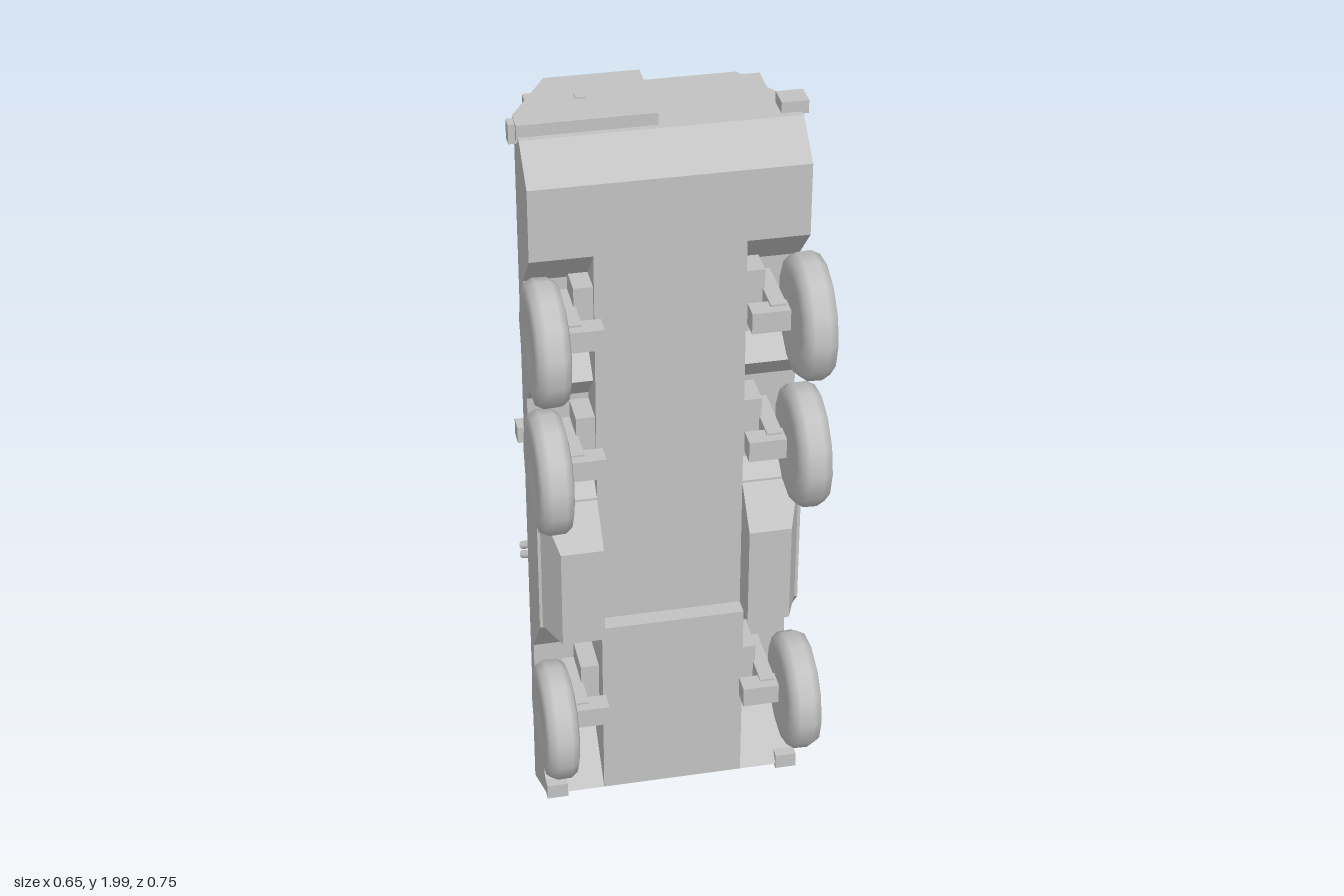
import * as THREE from 'three';
import { ConvexGeometry } from 'three/addons/geometries/ConvexGeometry.js';

// The vehicle stands on its nose: forward is -y, its roof faces -z.
export function createModel() {
  const root = new THREE.Group();
  const grey = new THREE.MeshStandardMaterial({ color: 0xc2c2c2 });
  grey.name = 'hull grey';

  const add = (name, geometry) => {
    const mesh = new THREE.Mesh(geometry, grey);
    mesh.name = name;
    root.add(mesh);
    return mesh;
  };
  const box = (name, x0, x1, y0, y1, z0, z1) =>
    add(name, new THREE.BoxGeometry(Math.abs(x1 - x0), y1 - y0, Math.abs(z1 - z0)))
      .position.set((x0 + x1) / 2, (y0 + y1) / 2, (z0 + z1) / 2);
  const convex = (name, pts) =>
    add(name, new ConvexGeometry(pts.map((p) => new THREE.Vector3(...p))));
  // side profile of [z, y] points, extruded across x
  const slab = (name, pts, x0, x1) => {
    const shape = new THREE.Shape(pts.map(([z, y]) => new THREE.Vector2(z, y)));
    const g = new THREE.ExtrudeGeometry(shape, { depth: x1 - x0, bevelEnabled: false });
    g.rotateY(-Math.PI / 2).translate(x1, 0, 0);
    return add(name, g);
  };
  // cylinder whose axis points out of the roof
  const disc = (name, r0, r1, z0, z1, x, y, sides) => {
    const g = new THREE.CylinderGeometry(r1, r0, Math.abs(z1 - z0), sides);
    g.rotateX(-Math.PI / 2);
    add(name, g).position.set(x, y, (z0 + z1) / 2);
  };
  const sides = [1, -1];
  const bothX = (xs, rest) => xs.flatMap((x) => [[x, ...rest], [-x, ...rest]]);

  // Hull: upper body with sloped sides and glacis, keel, sponsons with wheel arches
  convex('upperHull', [
    ...bothX([0.305], [0.18, 0.005]), ...bothX([0.305], [1.96, 0.005]),
    ...bothX([0.21], [0.59, -0.16]), ...bothX([0.21], [1.96, -0.16]),
  ]);
  slab('keel', [[0.005, 0.18], [0.2, 0.283], [0.2, 0.76], [0.16, 0.76],
    [0.16, 1.89], [0.07, 1.96], [0.005, 1.96]], -0.167, 0.167);
  const arches = [[0.005, 0.18], [0.2, 0.283], [0.05, 0.43], [0.05, 0.62], [0.16, 0.755],
    [0.16, 1.1], [0.07, 1.18], [0.07, 1.325], [0.135, 1.395], [0.07, 1.455],
    [0.07, 1.625], [0.16, 1.72], [0.16, 1.89], [0.07, 1.96], [0.005, 1.96]];
  slab('leftSponson', arches, 0.167, 0.305);
  slab('rightSponson', arches, -0.305, -0.167);
  convex('frontDeckBulge', [
    ...bothX([0.21], [0.59, -0.16]), ...bothX([0.1], [0.427, -0.16]),
    ...bothX([0.1], [0.352, -0.05]), ...bothX([0.1], [0.5, -0.05]),
  ]);

  // Wheels, axles, belly bins and the fittings found on both sides
  const tyre = [[0, 0.252], [0.1, 0.246], [0.128, 0.252], [0.14, 0.268], [0.141, 0.3],
    [0.131, 0.319], [0.105, 0.325], [0.05, 0.319], [0, 0.317]]
    .map(([r, h]) => new THREE.Vector2(r, h));
  const wheelGeo = new THREE.LatheGeometry(tyre, 13).rotateZ(-Math.PI / 2);
  for (const s of sides) {
    for (const y of [0.54, 1.235, 1.565]) {
      const wheel = add('wheel', wheelGeo);
      wheel.position.set(0, y, 0.235);
      if (s < 0) wheel.rotation.y = Math.PI, wheel.position.x = 0;
      box('axleArm', s * 0.16, s * 0.245, y - 0.025, y + 0.025, 0.2, 0.247);
      box('suspensionStrut', s * 0.205, s * 0.24, y - 0.03, y + 0.03, 0.04, 0.225);
      box('suspensionMount', s * 0.16, s * 0.21, y - 0.075, y + 0.075, 0.04, 0.15);
    }
    convex('bellyBin', [0.167, 0.3].flatMap((x) => [[s * x, 0.76, 0.155], [s * x, 1.1, 0.155]])
      .concat([0.167, 0.265].flatMap((x) => [[s * x, 0.76, 0.24], [s * x, 1.01, 0.24]])));
    for (const y of [0.91, 1.12, 1.235, 1.35]) {
      box('sideBracket', s * 0.2, s * 0.256, y - 0.033, y + 0.033, -0.112, -0.152);
      box('bracketStep', s * 0.22, s * 0.267, y - 0.016, y + 0.016, -0.072, -0.112);
    }
    box('rearSideBox', s * 0.2, s * 0.262, 1.89, 1.955, -0.08, -0.155);
    box('headlight', s * 0.21, s * 0.25, 0.235, 0.275, 0.01, -0.027);
    box('towLug', s * 0.255, s * 0.305, 0.27, 0.308, 0.15, 0.201);
  }

  // Fittings found on one side only
  box('sideRail', 0.28, 0.313, 1.15, 1.95, 0.012, -0.02);
  box('railEndBox', 0.265, 0.326, 1.11, 1.19, 0.01, -0.065);
  box('exhaustBox', 0.2, 0.265, 1.39, 1.46, -0.085, -0.155);
  box('rearLamp', 0.26, 0.32, 1.955, 1.985, 0, 0.055);
  box('sideBox', -0.32, -0.285, 1.17, 1.21, -0.03, 0.01);
  box('doorHingeBox', -0.323, -0.3, 1.94, 1.985, 0.012, 0.042);

  // Rear door plate, following the hull slope
  const door = [[-0.308, 0.055], [-0.308, 0.005], [-0.215, -0.155], [-0.005, -0.155], [-0.005, 0.055]];
  convex('rearDoor', door.flatMap(([x, z]) => [[x, 1.95, z], [x, 1.988, z]]));
  box('doorHandle', -0.165, -0.142, 1.985, 1.991, -0.065, -0.042);

  // Turret: chamfered octagonal rings from the base up to the roof
  disc('turretRing', 0.2, 0.2, -0.155, -0.203, 0, 0.77, 32);
  const ring = (z, hx, front, back, fx, bx, fy, by) => [
    ...bothX([fx], [front, z]), ...bothX([hx], [front + fy, z]),
    ...bothX([hx], [back - by, z]), ...bothX([bx], [back, z])];
  convex('turret', [
    ...ring(-0.2, 0.215, 0.555, 1.0, 0.085, 0.16, 0.11, 0.07),
    ...ring(-0.24, 0.235, 0.52, 1.02, 0.09, 0.175, 0.13, 0.08),
    ...ring(-0.335, 0.182, 0.57, 1.0, 0.07, 0.15, 0.11, 0.06),
  ]);
  box('turretBin', -0.152, 0.152, 0.98, 1.075, -0.205, -0.29);

  // Gun
  convex('mantlet', [
    ...bothX([0.07], [0.58, -0.25]), ...bothX([0.07], [0.58, -0.325]),
    ...bothX([0.045], [0.505, -0.257]), ...bothX([0.045], [0.505, -0.315]),
  ]);
  for (const [name, r, y0, y1] of [['muzzle', 0.02, 0, 0.052], ['barrel', 0.0125, 0.04, 0.51],
    ['barrelSleeve', 0.016, 0.3, 0.49], ['barrelCollar', 0.022, 0.485, 0.515]]) {
    add(name, new THREE.CylinderGeometry(r, r, y1 - y0, 14)).position.set(0, (y0 + y1) / 2, -0.287);
  }

  // Turret roof: cupola, gunner's hatch and sight
  disc('cupolaBase', 0.078, 0.078, -0.33, -0.352, -0.093, 0.82, 20);
  disc('cupolaLid', 0.07, 0.06, -0.35, -0.363, -0.093, 0.82, 20);
  box('gunnerHatch', 0.032, 0.15, 0.8, 0.93, -0.33, -0.343);
  box('sight', 0.045, 0.1, 0.64, 0.692, -0.33, -0.375);

  // Smoke launchers on the turret flanks
  for (const s of sides) {
    box('launcherMount', s * 0.21, s * 0.263, 0.645, 0.69, -0.23, -0.255);
    for (const y of [0.652, 0.68]) {
      const tube = add('launcherTube', new THREE.CylinderGeometry(0.01, 0.01, 0.05, 10));
      const axis = new THREE.Vector3(s * 0.72, -0.35, -0.6).normalize();
      tube.quaternion.setFromUnitVectors(new THREE.Vector3(0, 1, 0), axis);
      tube.position.set(s * 0.26, y, -0.27);
    }
  }
  return root;
}
